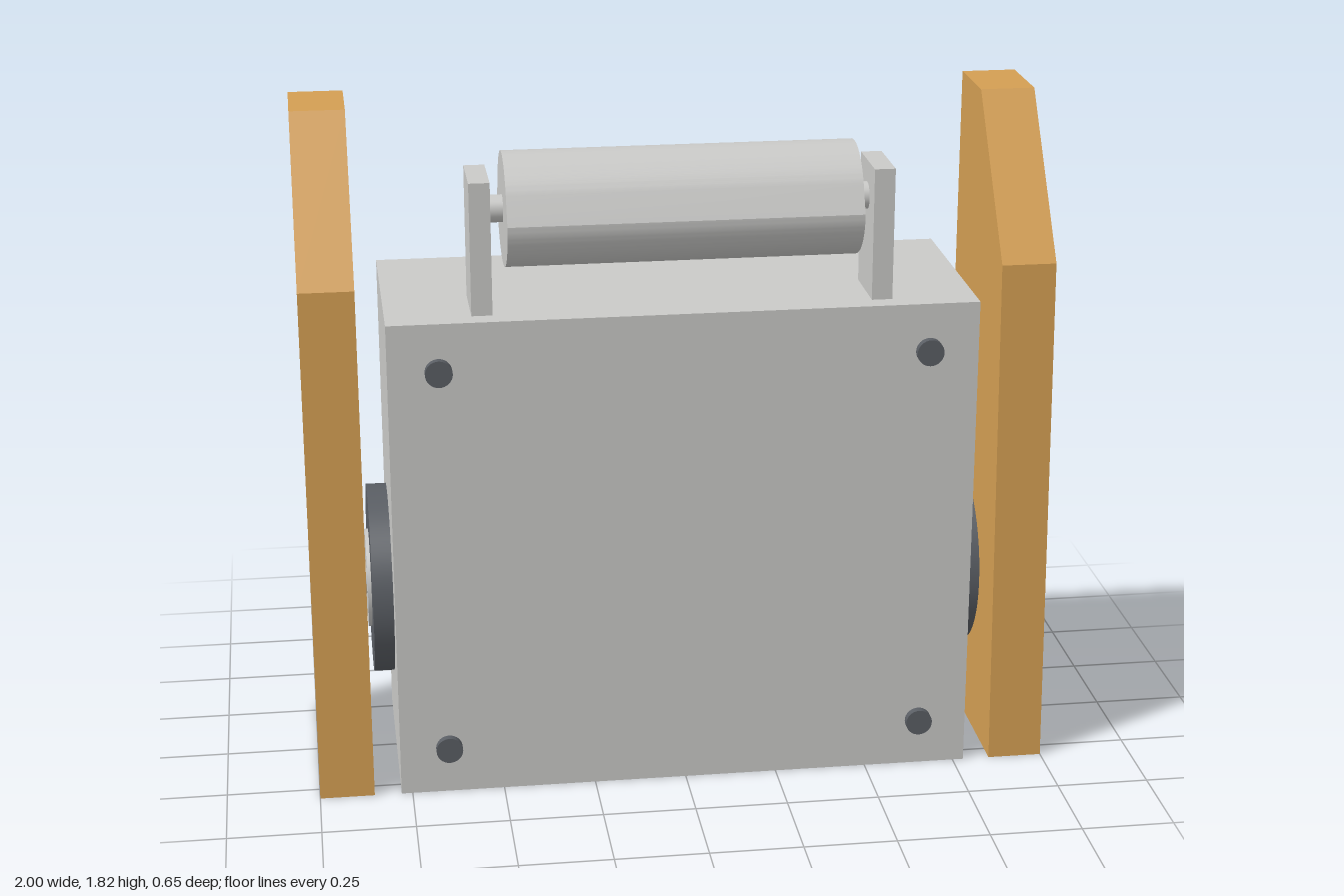
import * as THREE from 'three';
import { toCreasedNormals } from 'three/addons/utils/BufferGeometryUtils.js';

const material = (name, color) => {
  const m = new THREE.MeshStandardMaterial({ color });
  m.name = name;
  return m;
};

export function createModel() {
  const model = new THREE.Group();
  model.name = 'rollerUnit';
  const metal = material('light grey metal', 0xcacac8);
  const rubber = material('dark grey rubber', 0x5a5e64);
  const wood = material('wood', 0xd49f53);

  const add = (name, geometry, mat, x, y, z) => {
    const mesh = new THREE.Mesh(geometry, mat);
    mesh.name = name;
    mesh.position.set(x, y, z);
    model.add(mesh);
    return mesh;
  };
  // Cylinder lying along x between two positions
  const rod = (name, r, x0, x1, y, z, mat) => {
    const g = new THREE.CylinderGeometry(r, r, Math.abs(x1 - x0), 48).rotateZ(Math.PI / 2);
    return add(name, g, mat, (x0 + x1) / 2, y, z);
  };
  // Profile drawn as (-z, y), extruded along +x from x = 0
  const extrudeX = (shape, width) =>
    new THREE.ExtrudeGeometry(shape, { depth: width, bevelEnabled: false, curveSegments: 32 })
      .rotateY(Math.PI / 2);

  // Main body
  add('body', new THREE.BoxGeometry(1.56, 1.335, 0.595), metal, 0, 0.6675, 0.0075);

  // Side panel outline
  const panel = new THREE.Shape([
    [-0.305, 0], [0.287, 0], [0.287, 1.815], [0.068, 1.815], [-0.235, 1.41],
  ].map(([u, v]) => new THREE.Vector2(u, v)));
  const panelGeometry = extrudeX(panel, 0.147);

  for (const s of [-1, 1]) {
    const side = s > 0 ? 'left' : 'right';
    add(side + 'Panel', panelGeometry, wood, s > 0 ? 0.853 : -1, 0, 0);

    // Wheel, hub and axle stub
    rod(side + 'Wheel', 0.26, s * 0.65, s * 0.835, 0.485, -0.067, rubber);
    rod(side + 'Hub', 0.135, s * 0.83, s * 0.845, 0.485, -0.067, metal);
    rod(side + 'Axle', 0.045, s * 0.84, s * 0.856, 0.485, -0.067, metal);

    // Roller bracket and pin
    add(side + 'Bracket', new THREE.BoxGeometry(0.055, 0.357, 0.185), metal, s * 0.5275, 1.5105, 0.1575);
    rod(side + 'RollerPin', 0.036, s * 0.45, s * 0.51, 1.595, 0.155, metal);

    // Front bolts
    for (const y of [0.13, 1.205]) {
      const bolt = new THREE.CylinderGeometry(0.036, 0.036, 0.04, 32).rotateX(Math.PI / 2);
      add(side + 'Bolt', bolt, rubber, s * 0.647, y, 0.306);
    }
  }

  // Roller: round top, sloping shoulders, wider rounded underside
  const profile = new THREE.Shape();
  const a = 0.47;
  profile.moveTo(0.168, -0.005);
  profile.absarc(0, 0, 0.15, a, Math.PI - a, false);
  profile.lineTo(-0.168, -0.005);
  profile.absellipse(0, -0.005, 0.168, 0.145, Math.PI, Math.PI * 2, false);
  const roller = toCreasedNormals(extrudeX(profile, 0.925), 0.35);
  add('roller', roller, metal, -0.4625, 1.595, 0.157);

  return model;
}
